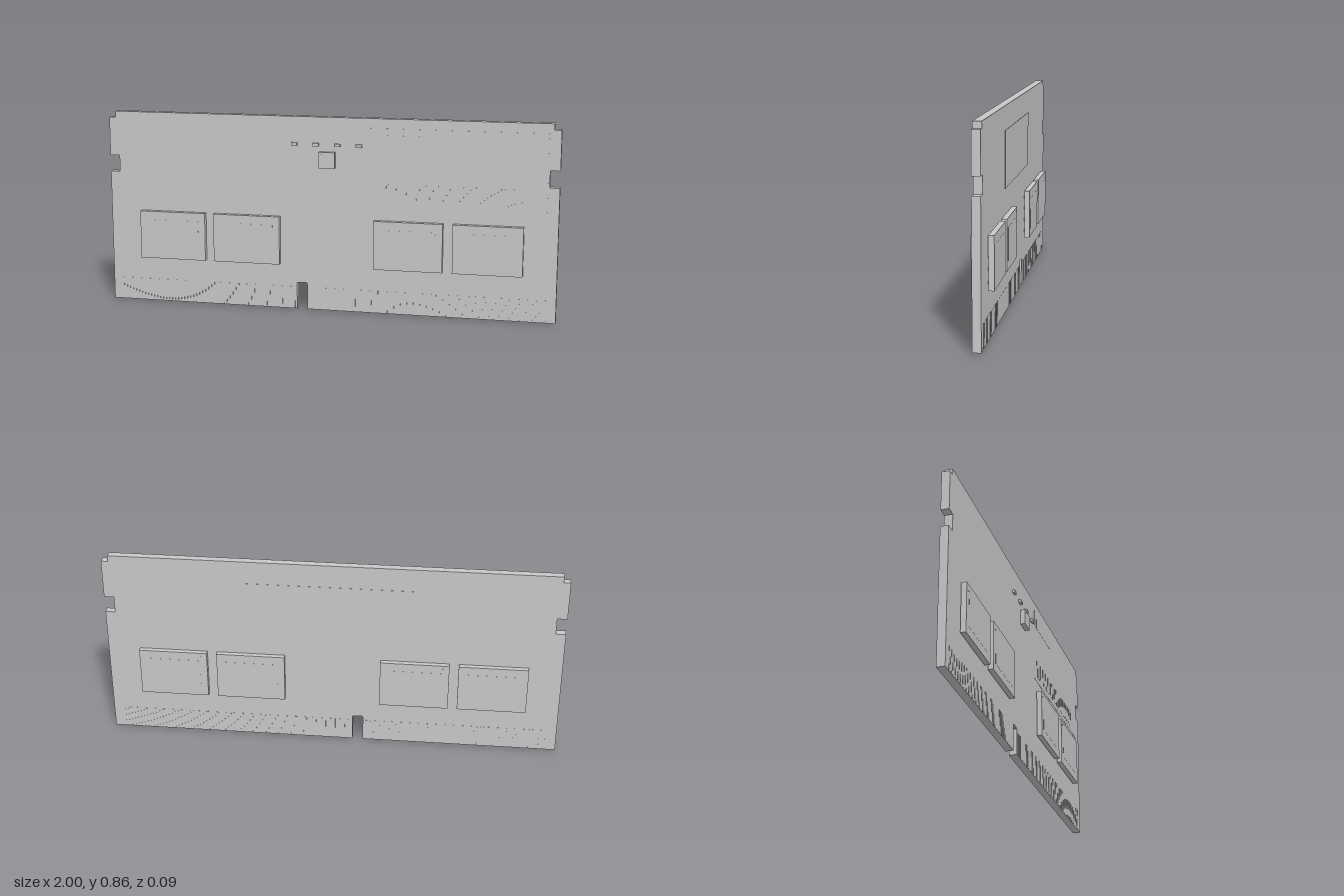
import * as THREE from 'three';
import { mergeGeometries } from 'three/addons/utils/BufferGeometryUtils.js';

const FACE = 0.0175; // half the board thickness

// Box given by its limits on each axis
function box(x0, x1, y0, y1, z0, z1) {
  return new THREE.BoxGeometry(x1 - x0, y1 - y0, z1 - z0)
    .translate((x0 + x1) / 2, (y0 + y1) / 2, (z0 + z1) / 2);
}

export function createModel() {
  const model = new THREE.Group();
  model.name = 'memoryModule';
  const grey = new THREE.MeshStandardMaterial({ color: 0xc8c8c8 });
  grey.name = 'lightGrey';

  function add(name, geometries, parent = model) {
    const mesh = new THREE.Mesh(mergeGeometries(geometries), grey);
    mesh.name = name;
    parent.add(mesh);
  }

  // Board outline: key slot below, latch notches at the sides, stepped top corners
  const half = [[1, 0], [1, 0.59], [0.957, 0.59], [0.957, 0.663], [1, 0.663], [1, 0.835], [0.97, 0.835], [0.97, 0.862]];
  const outline = [
    ...half,
    ...half.map(([x, y]) => [-x, y]).reverse(),
    [-0.138, 0], [-0.138, 0.117], [-0.135, 0.12], [-0.095, 0.12], [-0.092, 0.117], [-0.092, 0],
  ].map(([x, y]) => new THREE.Vector2(x, y));
  const board = new THREE.ExtrudeGeometry(new THREE.Shape(outline), { depth: 2 * FACE, bevelEnabled: false });
  add('board', [board.translate(0, 0, -FACE)]);

  // Parts found on both faces; the back is a half turn with x order reversed
  for (const side of [1, -1]) {
    const face = new THREE.Group();
    face.name = side > 0 ? 'frontFace' : 'backFace';
    if (side < 0) face.rotation.y = Math.PI;
    model.add(face);

    // Edge contacts, leaving the key slot free
    const contacts = [];
    for (let i = 0; i < 134; i++) {
      const x = -0.957 + i * 0.01437;
      if (x > -0.152 && x < -0.08) continue;
      contacts.push(box(side * x - 0.005, side * x + 0.005, 0.002, 0.1, FACE - 0.002, FACE + 0.0007));
    }
    add('edgeContacts', contacts, face);

    // Memory chips on solder balls
    for (const centre of [-0.705, -0.363, 0.36, 0.705]) {
      const chip = new THREE.Group();
      chip.name = 'memoryChip';
      chip.position.x = side * centre;
      face.add(chip);
      add('chipBody', [box(-0.151, 0.151, 0.203, 0.418, 0.022, 0.045)], chip);

      const balls = [];
      for (const y of [0.23, 0.283, 0.335, 0.386])
        for (let c = 0; c < 7; c++) {
          const bx = -0.12 + c * 0.04;
          balls.push(box(bx - 0.007, bx + 0.007, y - 0.007, y + 0.007, FACE - 0.001, 0.0225));
        }
      add('solderBalls', balls, chip);

      const dot = new THREE.CylinderGeometry(0.008, 0.008, 0.001, 16)
        .rotateX(Math.PI / 2).translate(-0.125 * side, 0.396, 0.045);
      add('cornerDot', [dot], chip);

      // Plain marking plate
      add('markingPlate', [box(-0.12, 0.12, 0.24, 0.38, 0.0445, 0.0454)], chip);
    }
  }

  // Small controller with its pad
  add('controller', [box(-0.035, 0.035, 0.641, 0.711, FACE - 0.001, 0.039)]);
  add('controllerDot', [new THREE.CylinderGeometry(0.004, 0.004, 0.001, 12)
    .rotateX(Math.PI / 2).translate(-0.025, 0.7, 0.0392)]);

  // Capacitors
  add('capacitors', [-0.147, -0.051, 0.044, 0.14].map(
    (x) => box(x - 0.013, x + 0.013, 0.735, 0.748, FACE - 0.001, 0.029)));

  // Labels, with a plate and a bar pattern on the front one
  add('frontLabel', [box(0.19, 0.95, 0.475, 0.82, FACE - 0.001, 0.0185)]);
  add('labelPlate', [box(0.22, 0.45, 0.745, 0.79, 0.018, 0.0191)]);
  const bars = [];
  for (let i = 0; i < 43; i++) {
    const x = 0.225 + i * 0.0146;
    bars.push(box(x, x + 0.006, 0.5, 0.577, 0.018, 0.0191));
  }
  add('labelBars', bars);
  add('backLabel', [box(-0.375, 0.375, 0.52, 0.76, -0.0185, -FACE + 0.001)]);

  return model;
}
